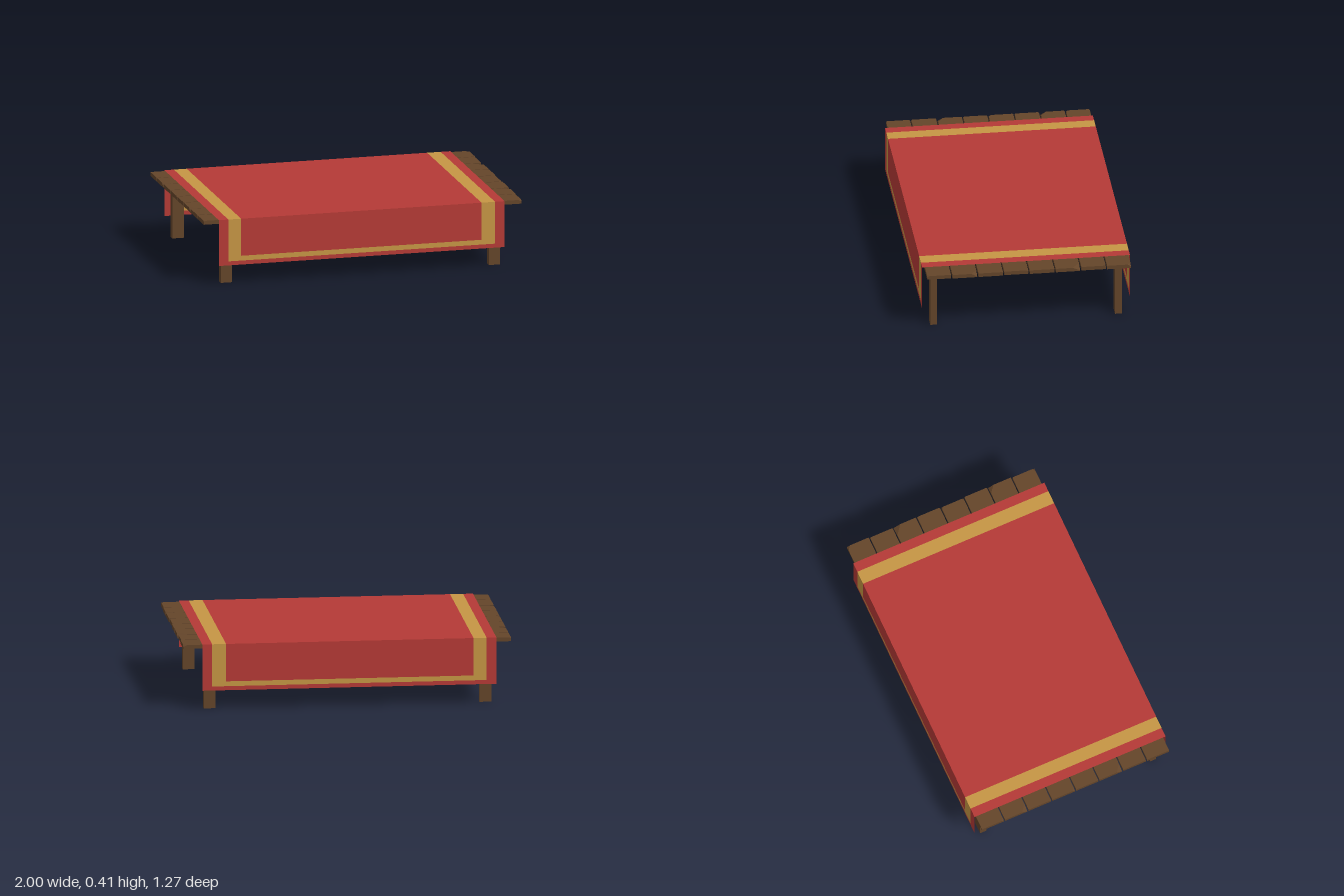
import * as THREE from 'three';
import { ConvexGeometry } from 'three/addons/geometries/ConvexGeometry.js';

const wood = new THREE.MeshStandardMaterial({ color: 0x64452a, flatShading: true });
const red = new THREE.MeshStandardMaterial({ color: 0xb53a36, side: THREE.DoubleSide });
const gold = new THREE.MeshStandardMaterial({ color: 0xc69644, side: THREE.DoubleSide });

// Board with some top corners knocked off; chips maps a corner key to its size along z
function plankGeometry(x0, x1, z0, z1, chips) {
  const y0 = 0.38, y1 = 0.404, points = [];
  for (const [sx, x] of [[-1, x0], [1, x1]]) {
    for (const [sz, z] of [[-1, z0], [1, z1]]) {
      points.push(new THREE.Vector3(x, y0, z));
      const c = chips[(sx < 0 ? 'L' : 'R') + (sz < 0 ? 'B' : 'F')] ?? 0.006;
      points.push(
        new THREE.Vector3(x - sx * c * 1.3, y1, z),
        new THREE.Vector3(x, y1, z - sz * c),
        new THREE.Vector3(x, y1 - Math.min(0.02, c * 0.6), z)
      );
    }
  }
  return new ConvexGeometry(points);
}

export function createModel() {
  const group = new THREE.Group();

  const add = (name, geometry, material, parent = group) => {
    const mesh = new THREE.Mesh(geometry, material);
    mesh.name = name;
    parent.add(mesh);
    return mesh;
  };

  // Tabletop: eight rough planks running along x
  const tabletop = new THREE.Group();
  tabletop.name = 'tabletop';
  group.add(tabletop);
  const seams = [-0.63, -0.477, -0.32, -0.163, -0.004, 0.151, 0.309, 0.468, 0.622];
  const chips = [
    { RB: 0.02, LF: 0.012 }, { LF: 0.035 }, { RB: 0.045 }, { LF: 0.014, RF: 0.01 },
    { RB: 0.012, RF: 0.014 }, { LF: 0.035 }, { RB: 0.035 }, { RF: 0.015 },
  ];
  for (let i = 0; i < 8; i++) {
    const geometry = plankGeometry(-1, i % 3 === 1 ? 0.996 : 1, seams[i] + 0.004, seams[i + 1] - 0.004, chips[i]);
    add('plank' + (i + 1), geometry, wood, tabletop);
  }

  // Legs
  for (const x of [-0.848, 0.835]) {
    for (const z of [-0.566, 0.563]) {
      const name = (z > 0 ? 'front' : 'back') + (x > 0 ? 'Left' : 'Right') + 'Leg';
      add(name, new THREE.BoxGeometry(0.072, 0.382, 0.042), wood).position.set(x, 0.191, z);
    }
  }

  // Cloth: flat coloured panels over the top and hanging down front and back
  const cloth = new THREE.Group();
  cloth.name = 'tablecloth';
  group.add(cloth);
  const xs = [-0.91, -0.85, -0.77, 0.74, 0.825, 0.885];
  const top = 0.407, hem = 0.12, depth = 0.635;
  const colours = [red, gold, red, gold, red];
  const drape = (x0, x1, y0, y1, material) => {
    for (const s of [1, -1]) {
      const geometry = new THREE.PlaneGeometry(x1 - x0, y1 - y0);
      if (s < 0) geometry.rotateY(Math.PI);
      add(s > 0 ? 'frontDrape' : 'backDrape', geometry, material, cloth)
        .position.set((x0 + x1) / 2, (y0 + y1) / 2, s * depth);
    }
  };
  colours.forEach((material, i) => {
    const [x0, x1] = [xs[i], xs[i + 1]];
    const panel = new THREE.PlaneGeometry(x1 - x0, 2 * depth).rotateX(-Math.PI / 2);
    add('clothTop', panel, material, cloth).position.set((x0 + x1) / 2, top, 0);
    // Outer strips reach the hem, gold strips stop at the border, the middle stops above it
    drape(x0, x1, [hem, 0.145, 0.175, 0.145, hem][i], top, material);
  });
  drape(xs[2], xs[3], 0.145, 0.175, gold);
  drape(xs[1], xs[4], hem, 0.145, red);

  return group;
}
